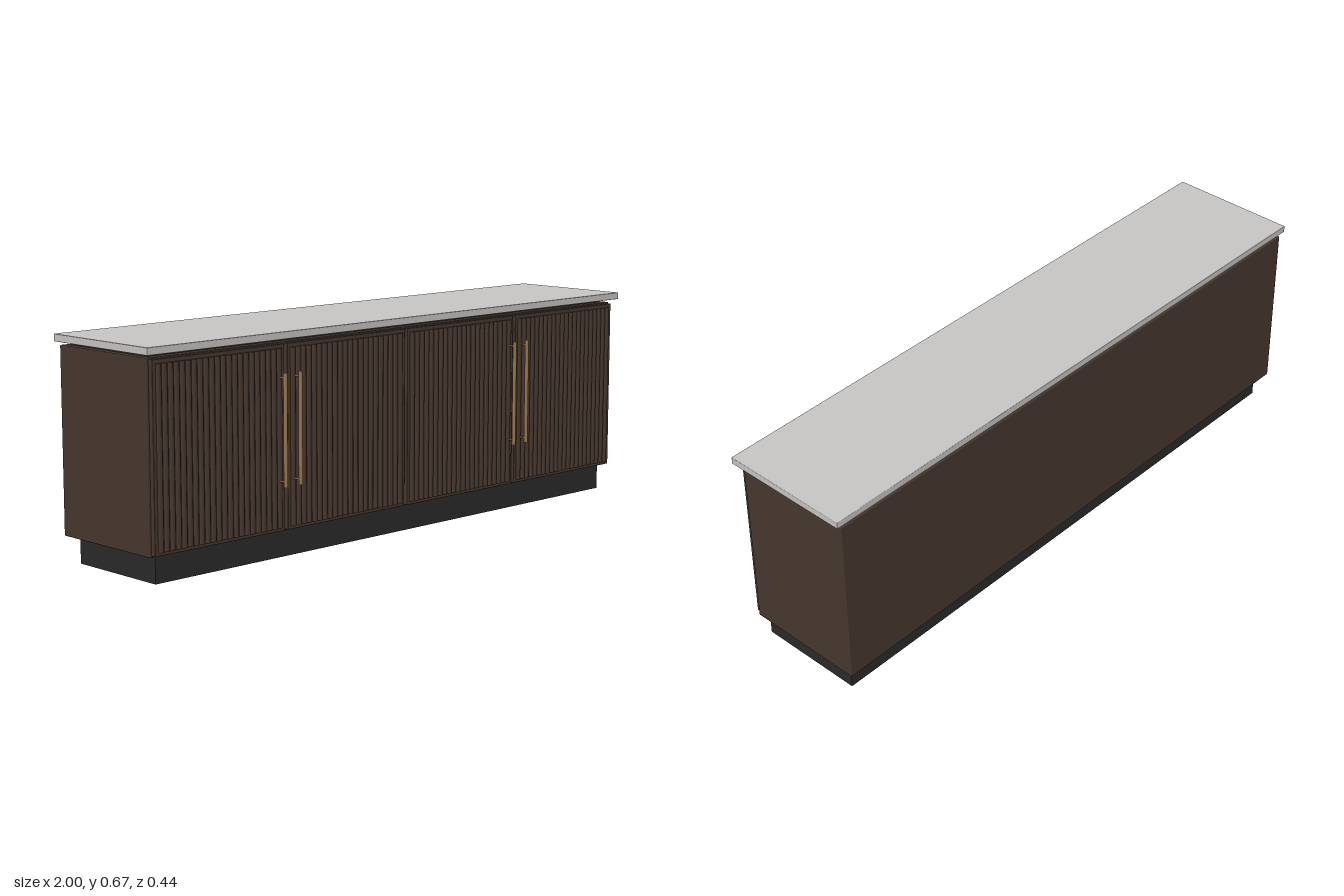
import * as THREE from 'three';
import { RoundedBoxGeometry } from 'three/addons/geometries/RoundedBoxGeometry.js';

const material = (name, color) => {
  const m = new THREE.MeshStandardMaterial({ color });
  m.name = name;
  return m;
};

export function createModel() {
  const wood = material('dark walnut', 0x46372e);
  const black = material('black plinth', 0x2a2a2a);
  const stone = material('pale stone', 0xc8c6c4);
  const brass = material('brass', 0x94744a);

  const model = new THREE.Group();
  model.name = 'sideboard';

  const add = (parent, name, geometry, mat, x = 0, y = 0, z = 0) => {
    const mesh = new THREE.Mesh(geometry, mat);
    mesh.name = name;
    mesh.position.set(x, y, z);
    parent.add(mesh);
    return mesh;
  };
  // Box given by its half width and its y and z limits
  const block = (name, mat, halfX, y0, y1, z0, z1, r = 0) => {
    const size = [2 * halfX, y1 - y0, z1 - z0];
    const geo = r ? new RoundedBoxGeometry(...size, 2, r) : new THREE.BoxGeometry(...size);
    return add(model, name, geo, mat, 0, (y0 + y1) / 2, (z0 + z1) / 2);
  };

  // Body, from floor to worktop
  block('plinth', black, 0.953, 0, 0.082, -0.181, 0.16);
  block('carcass', wood, 0.983, 0.081, 0.632, -0.216, 0.172, 0.003);
  block('shadowGap', black, 0.96, 0.631, 0.643, -0.2, 0.148);
  block('worktop', stone, 1, 0.643, 0.665, -0.221, 0.2, 0.002);

  // Doors with half-round vertical flutes
  const doorWidth = 0.479, flutes = 22, pitch = (doorWidth - 0.02) / flutes;
  const doorGeo = new RoundedBoxGeometry(doorWidth, 0.544, 0.018, 2, 0.002);
  const fluteGeo = new THREE.CylinderGeometry(pitch * 0.44, pitch * 0.44, 0.522, 10, 1, false, -Math.PI / 2, Math.PI);
  fluteGeo.scale(1, 1, 0.007 / (pitch * 0.44));

  // Slim pull handle with two posts
  const barGeo = new THREE.CylinderGeometry(0.006, 0.006, 0.331, 16);
  const postGeo = new THREE.CylinderGeometry(0.003, 0.003, 0.03, 10).rotateX(Math.PI / 2);

  [-0.735, -0.245, 0.245, 0.735].forEach((x) => {
    const door = new THREE.Group();
    door.name = 'door';
    door.position.x = x;
    model.add(door);
    add(door, 'doorPanel', doorGeo, wood, 0, 0.357, 0.179);
    for (let i = 0; i < flutes; i++) {
      add(door, 'flute', fluteGeo, wood, (i - (flutes - 1) / 2) * pitch, 0.356, 0.188);
    }
    const handle = new THREE.Group();
    handle.name = 'handle';
    handle.position.x = Math.sign(x) * (Math.abs(x) > 0.5 ? 0.519 : 0.461) - x;
    door.add(handle);
    add(handle, 'handleBar', barGeo, brass, 0, 0.3845, 0.217);
    for (const y of [0.234, 0.535]) add(handle, 'handlePost', postGeo, brass, 0, y, 0.2);
  });

  return model;
}
